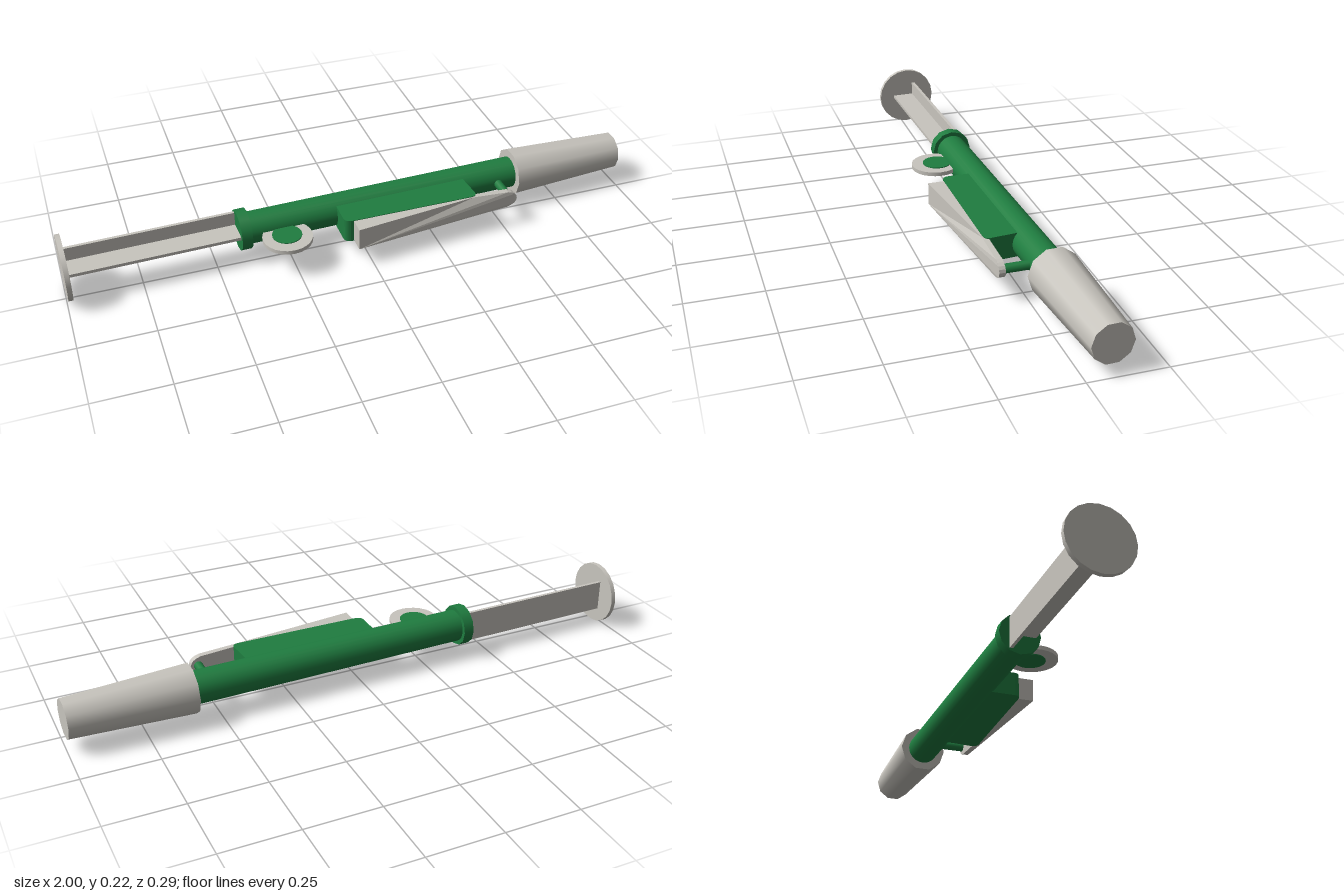
import * as THREE from 'three';

const green = new THREE.MeshStandardMaterial({ color: 0x1f7d40 });
green.name = 'green plastic';
const grey = new THREE.MeshStandardMaterial({ color: 0xc8c5be });
grey.name = 'pale grey plastic';

function add(parent, name, geometry, material, x = 0, y = 0, z = 0) {
  const mesh = new THREE.Mesh(geometry, material);
  mesh.name = name;
  mesh.position.set(x, y, z);
  parent.add(mesh);
  return mesh;
}

// Round part lying along x, from x0 (radius r0) to x1 (radius r1)
function rod(parent, name, material, x0, x1, r0, r1, sides) {
  const g = new THREE.CylinderGeometry(r1, r0, x1 - x0, sides).rotateZ(-Math.PI / 2);
  return add(parent, name, g, material, (x0 + x1) / 2);
}

// Box given by its minimum and maximum corners
function box(parent, name, material, a, b) {
  const g = new THREE.BoxGeometry(b[0] - a[0], b[1] - a[1], b[2] - a[2]);
  return add(parent, name, g, material, (a[0] + b[0]) / 2, (a[1] + b[1]) / 2, (a[2] + b[2]) / 2);
}

// Trigger lever: front outline extruded, then thinned towards its tip
function leverGeometry() {
  const s = new THREE.Shape();
  s.moveTo(-0.05, 0.068);
  s.lineTo(0.38, 0.068);
  s.lineTo(0.51, 0.077);
  s.quadraticCurveTo(0.545, 0.085, 0.545, 0.107);
  s.quadraticCurveTo(0.545, 0.13, 0.51, 0.138);
  s.lineTo(0.38, 0.146);
  s.lineTo(-0.05, 0.146);
  s.closePath();
  const g = new THREE.ExtrudeGeometry(s, { depth: 1, bevelEnabled: false, curveSegments: 4 });
  const p = g.attributes.position;
  for (let i = 0; i < p.count; i++) {
    const t = (p.getX(i) + 0.05) / 0.6;
    const front = Math.max(0.145 - 0.072 * t, 0.093);
    const back = 0.085 - 0.013 * t;
    p.setZ(i, p.getZ(i) > 0.5 ? front : back);
  }
  g.computeVertexNormals();
  return g;
}

// Trigger housing: rounded outline seen from above, extruded upwards
function housingGeometry() {
  const s = new THREE.Shape();
  s.moveTo(-0.08, 0.05);
  s.lineTo(-0.08, -0.07);
  s.quadraticCurveTo(-0.078, -0.09, -0.05, -0.09);
  s.lineTo(0.37, -0.09);
  s.quadraticCurveTo(0.395, -0.09, 0.395, -0.07);
  s.lineTo(0.385, 0.05);
  s.closePath();
  const g = new THREE.ExtrudeGeometry(s, { depth: 0.083, bevelEnabled: false, curveSegments: 5 });
  return g.rotateX(-Math.PI / 2);
}

export function createModel() {
  const model = new THREE.Group();
  model.name = 'pipettePump';

  // Barrel line, turned slightly about the vertical
  const barrel = new THREE.Group();
  barrel.name = 'barrelAssembly';
  barrel.position.set(0, 0.109, -0.048);
  barrel.rotation.y = 0.027;
  model.add(barrel);
  rod(barrel, 'tube', green, -0.41, 0.6, 0.055, 0.055, 24);
  rod(barrel, 'collar', green, -0.418, -0.382, 0.07, 0.07, 12);
  rod(barrel, 'nose', grey, 0.587, 0.998, 0.084, 0.066, 10);
  rod(barrel, 'plungerDisc', grey, -0.998, -0.982, 0.109, 0.109, 20);

  // Plunger shaft with a T section
  box(barrel, 'plungerBackPlate', grey, [-0.985, -0.053, -0.035], [-0.4, 0.054, -0.024]);
  box(barrel, 'plungerRib', grey, [-0.985, -0.005, -0.025], [-0.4, 0.006, 0.053]);

  // Thumbwheel and its green hub
  add(model, 'thumbwheel', new THREE.CylinderGeometry(0.084, 0.084, 0.014, 24), grey, -0.27, 0.109, 0.058);
  add(model, 'thumbwheelHub', new THREE.CylinderGeometry(0.05, 0.05, 0.02, 20), green, -0.27, 0.109, 0.052);

  // Trigger
  add(model, 'triggerHousing', housingGeometry(), green, 0, 0.065, 0);
  add(model, 'triggerLever', leverGeometry(), grey);
  const post = new THREE.CylinderGeometry(0.015, 0.015, 0.1, 10).rotateX(Math.PI / 2);
  add(model, 'leverPost', post, green, 0.52, 0.107, 0.03);

  return model;
}
